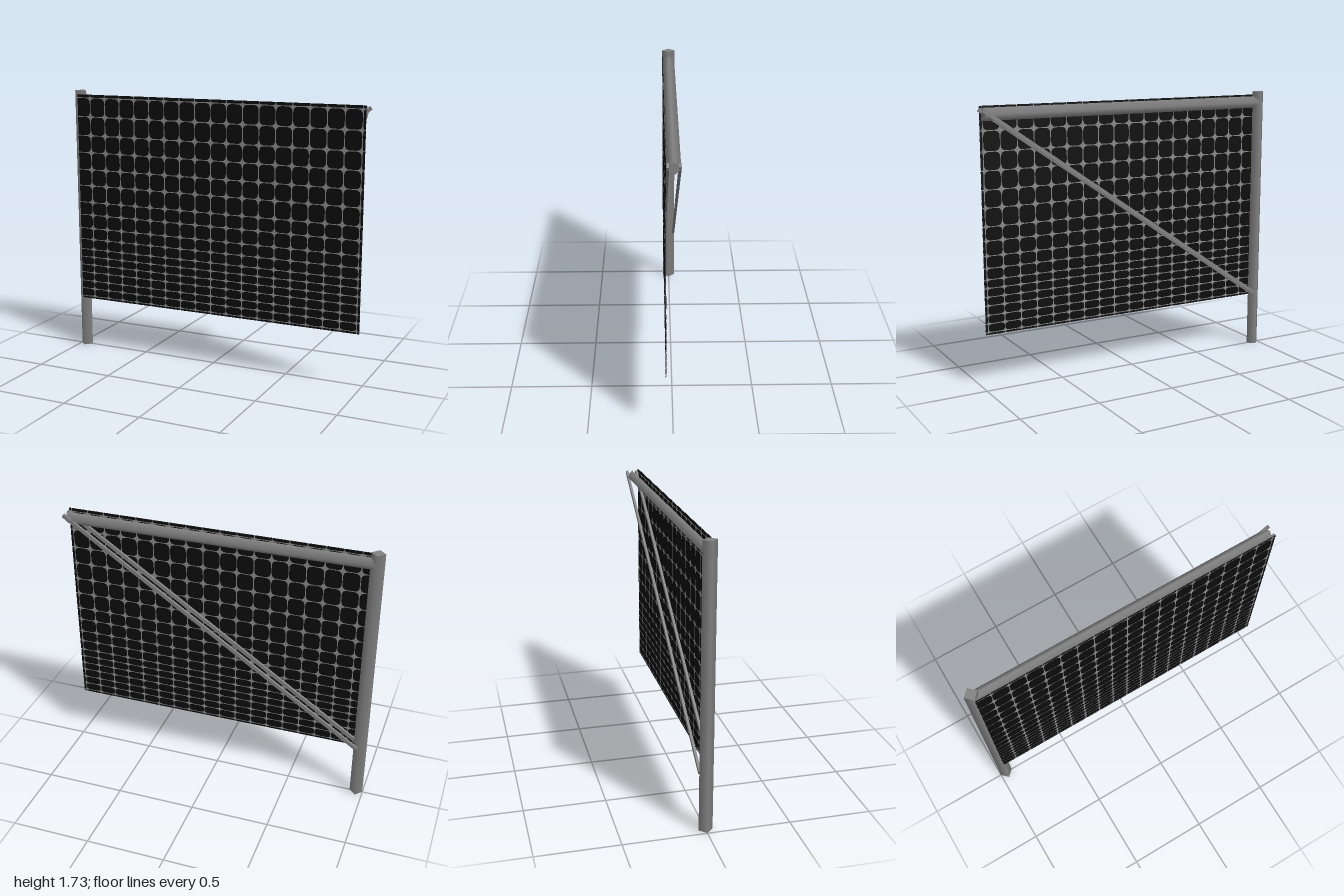
import * as THREE from 'three';
import { mergeGeometries } from 'three/addons/utils/BufferGeometryUtils.js';

const PANEL = { left: -0.957, right: 0.982, bottom: 0.338, top: 1.708, z: 0.0405 };
const GAP = 0.0025; // half the line between two cells

// One solar cell; corners on the panel border stay square
function cellShape(x0, x1, y0, y1) {
  const L = x0 === PANEL.left, R = x1 === PANEL.right;
  const B = y0 === PANEL.bottom, T = y1 === PANEL.top;
  const a = L ? x0 : x0 + GAP, b = R ? x1 : x1 - GAP;
  const c = B ? y0 : y0 + GAP, d = T ? y1 : y1 - GAP;
  const rx = Math.min(0.032, (b - a) * 0.45), ry = Math.min(0.034, (d - c) * 0.32);
  const s = new THREE.Shape();
  const corner = (square, px, py, x, y) =>
    square ? (s.lineTo(px, py), s.lineTo(x, y)) : s.quadraticCurveTo(px, py, x, y);
  s.moveTo(a + rx, c);
  s.lineTo(b - rx, c);
  corner(R || B, b, c, b, c + ry);
  s.lineTo(b, d - ry);
  corner(R || T, b, d, b - rx, d);
  s.lineTo(a + rx, d);
  corner(L || T, a, d, a, d - ry);
  s.lineTo(a, c + ry);
  corner(L || B, a, c, a + rx, c);
  return s;
}

export function createModel() {
  const steel = new THREE.MeshStandardMaterial({ color: 0x828282 });
  steel.name = 'steel';
  const grid = new THREE.MeshStandardMaterial({ color: 0x888888, side: THREE.DoubleSide });
  grid.name = 'gridGrey';
  const black = new THREE.MeshStandardMaterial({ color: 0x0c0c0c, side: THREE.DoubleSide });
  black.name = 'cellBlack';

  const group = new THREE.Group();
  group.name = 'solarPanelFrame';
  const add = (name, geometry, material, x, y, z, parent = group) => {
    const mesh = new THREE.Mesh(geometry, material);
    mesh.name = name;
    mesh.position.set(x, y, z);
    parent.add(mesh);
    return mesh;
  };

  // Upright post and top beam: square tubes turned on edge
  add('post', new THREE.CylinderGeometry(0.042, 0.042, 1.732, 4), steel, -0.958, 0.866, 0);
  const beam = add('topBeam', new THREE.CylinderGeometry(0.038, 0.038, 1.93, 4), steel, 0.008, 1.662, -0.002);
  beam.rotation.z = Math.PI / 2;

  // Pair of diagonal braces from the post to the end of the beam
  const from = new THREE.Vector2(-0.94, 0.365), to = new THREE.Vector2(0.988, 1.688);
  const mid = from.clone().add(to).multiplyScalar(0.5);
  for (const [name, z] of [['backBrace', -0.034], ['frontBrace', 0.03]]) {
    const brace = add(name, new THREE.BoxGeometry(from.distanceTo(to), 0.024, 0.015), steel, mid.x, mid.y, z);
    brace.rotation.z = to.clone().sub(from).angle();
  }

  // Panel backing sheet
  const panel = new THREE.Group();
  panel.name = 'solarPanel';
  group.add(panel);
  add('panelSheet', new THREE.PlaneGeometry(PANEL.right - PANEL.left, PANEL.top - PANEL.bottom), grid,
    (PANEL.left + PANEL.right) / 2, (PANEL.bottom + PANEL.top) / 2, PANEL.z, panel);

  // Cell layout: even columns, rows that get shorter towards the bottom
  const columns = [PANEL.left];
  for (let i = 0; i < 18; i++) columns.push(-0.863 + i * 0.1075);
  columns.push(PANEL.right);
  const rows = [PANEL.bottom, 0.352, 0.406, 0.459, 0.518, 0.571, 0.625, 0.678, 0.747, 0.822,
    0.913, 0.998, 1.11, 1.217, 1.33, 1.442, 1.564, 1.687, PANEL.top];
  const cells = [];
  for (let i = 0; i + 1 < columns.length; i++)
    for (let j = 0; j + 1 < rows.length; j++)
      cells.push(new THREE.ShapeGeometry(cellShape(columns[i], columns[i + 1], rows[j], rows[j + 1]), 4));
  const cellGeometry = mergeGeometries(cells);
  add('frontCells', cellGeometry, black, 0, 0, PANEL.z + 0.0015, panel);
  add('backCells', cellGeometry, black, 0, 0, PANEL.z - 0.0015, panel);

  return group;
}
